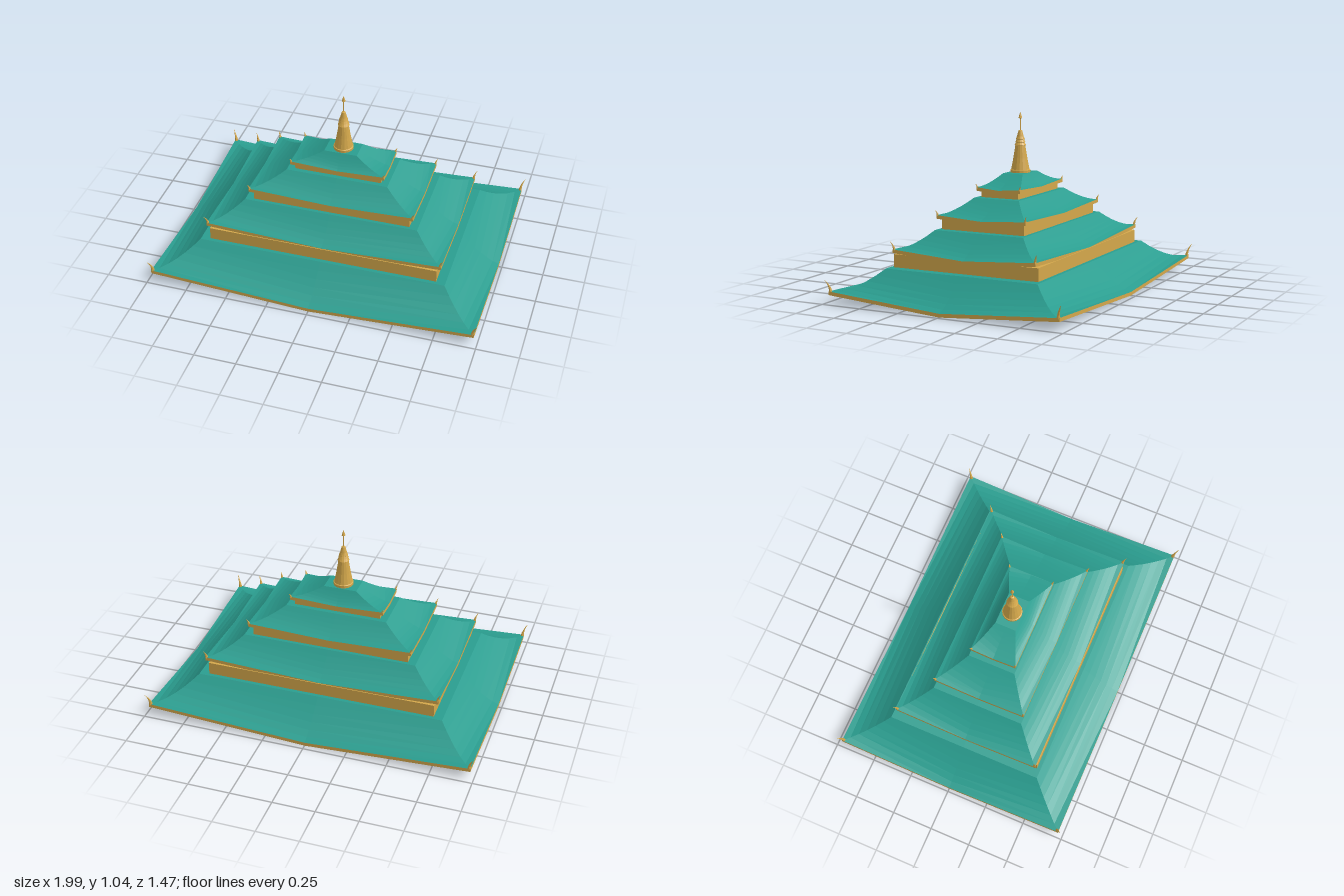
import * as THREE from 'three';

const gold = new THREE.MeshStandardMaterial({ color: 0xd4a84b, flatShading: true });
gold.name = 'gold';
const teal = new THREE.MeshStandardMaterial({ color: 0x2a9d8f, flatShading: true });
teal.name = 'teal';

// Half extents and heights of each tier, from the ground up
const TIERS = [
  { eave: [0.98, 0.72], top: [0.75, 0.482], corner: 0.075, mid: 0.022, topY: 0.187, horn: 0.075 },
  { eave: [0.718, 0.455], top: [0.53, 0.285], corner: 0.295, mid: 0.265, topY: 0.391, horn: 0.052,
    wall: [0.695, 0.46, 0.185, 0.263] },
  { eave: [0.505, 0.288], top: [0.31, 0.147], corner: 0.475, mid: 0.457, topY: 0.56, horn: 0.036,
    wall: [0.48, 0.265, 0.39, 0.452] },
  { eave: [0.288, 0.143], top: [0.1, 0.065], corner: 0.62, mid: 0.607, topY: 0.685, horn: 0.026,
    wall: [0.265, 0.12, 0.56, 0.607] },
];
const FASCIA = 0.021;

// Corners and edge midpoints of a unit rectangle, starting front and running towards +x
const RIM = [[-1, 1], [0, 1], [1, 1], [1, 0], [1, -1], [0, -1], [-1, -1], [-1, 0]];

function mesh(name, geometry, material) {
  const m = new THREE.Mesh(geometry, material);
  m.name = name;
  return m;
}

// Loft through rings of eight points, listed bottom to top; optional end fans
function loft(rings, capTop, capBottom) {
  const pos = [];
  const tri = (a, b, c) => pos.push(...a, ...b, ...c);
  const n = RIM.length;
  for (let r = 0; r + 1 < rings.length; r++) {
    for (let i = 0; i < n; i++) {
      const j = (i + 1) % n;
      const [a, b, c, d] = [rings[r][i], rings[r][j], rings[r + 1][j], rings[r + 1][i]];
      // Mirror the diagonal so both halves of a side match
      if (i % 2) { tri(a, b, c); tri(a, c, d); } else { tri(a, b, d); tri(b, c, d); }
    }
  }
  const low = rings[0], high = rings[rings.length - 1];
  for (let i = 0; i < n; i++) {
    const j = (i + 1) % n;
    if (capTop) tri([0, high[1][1], 0], high[i], high[j]);
    if (capBottom) tri([0, low[1][1], 0], low[j], low[i]);
  }
  const g = new THREE.BufferGeometry();
  g.setAttribute('position', new THREE.Float32BufferAttribute(pos, 3));
  g.computeVertexNormals();
  return g;
}

// One ring of the curved roof: t = 0 at the top, 1 at the eave; corners sweep upward
function roofRing(tier, t, drop = 0) {
  const hx = THREE.MathUtils.lerp(tier.top[0], tier.eave[0], t);
  const hz = THREE.MathUtils.lerp(tier.top[1], tier.eave[1], t);
  const base = tier.mid + (tier.topY - tier.mid) * Math.pow(1 - t, 1.4);
  const lift = (tier.corner - tier.mid) * t * t;
  return RIM.map(([sx, sz]) => [sx * hx, base + (sx && sz ? lift : 0) - drop, sz * hz]);
}

// Small pointed horn curving outward from an eave corner
function hornGeometry(h, sx, sz) {
  const g = new THREE.CylinderGeometry(0.001, 0.006 + h * 0.07, h, 6, 4);
  g.translate(0, h / 2, 0);
  const p = g.attributes.position;
  for (let i = 0; i < p.count; i++) {
    const k = p.getY(i) / h;
    const out = h * (0.32 * k * k - 0.08);
    p.setX(i, p.getX(i) + sx * out);
    p.setZ(i, p.getZ(i) + sz * out);
  }
  g.computeVertexNormals();
  return g;
}

function makeTier(tier, index) {
  const group = new THREE.Group();
  group.name = 'tier' + (index + 1);

  // Wall below the roof
  if (tier.wall) {
    const [hx, hz, y0, y1] = tier.wall;
    const wall = mesh('wall', new THREE.BoxGeometry(hx * 2, y1 - y0, hz * 2), gold);
    wall.position.y = (y0 + y1) / 2;
    group.add(wall);
  }

  // Sweeping roof
  const rings = [];
  for (let i = 6; i >= 0; i--) rings.push(roofRing(tier, i / 6));
  group.add(mesh('roof', loft(rings, true, false), teal));

  // Eave board with the soffit beneath
  const eave = [roofRing(tier, 1, FASCIA), roofRing(tier, 1)];
  group.add(mesh('eaveAndSoffit', loft(eave, false, true), gold));

  // Corner horns
  for (const sx of [-1, 1]) for (const sz of [-1, 1]) {
    const horn = mesh('cornerHorn', hornGeometry(tier.horn, sx, sz), gold);
    horn.position.set(sx * (tier.eave[0] - 0.003), tier.corner - 0.006, sz * (tier.eave[1] - 0.003));
    group.add(horn);
  }
  return group;
}

// Tapered spire with rings, rod and pointed bud
function makeSpire() {
  const profile = [
    [0.06, 0.684], [0.06, 0.7], [0.055, 0.703], [0.042, 0.77], [0.03, 0.845],
    [0.035, 0.848], [0.026, 0.862], [0.031, 0.865], [0.023, 0.88], [0.027, 0.883],
    [0.02, 0.9], [0.011, 0.935], [0.003, 0.938], [0.003, 1.005], [0.011, 1.01],
    [0.007, 1.025], [0, 1.045],
  ].map(([r, y]) => new THREE.Vector2(r, y));
  return mesh('spire', new THREE.LatheGeometry(profile, 16), gold);
}

export function createModel() {
  const model = new THREE.Group();
  model.name = 'tieredRoof';
  TIERS.forEach((tier, i) => model.add(makeTier(tier, i)));
  model.add(makeSpire());
  return model;
}
